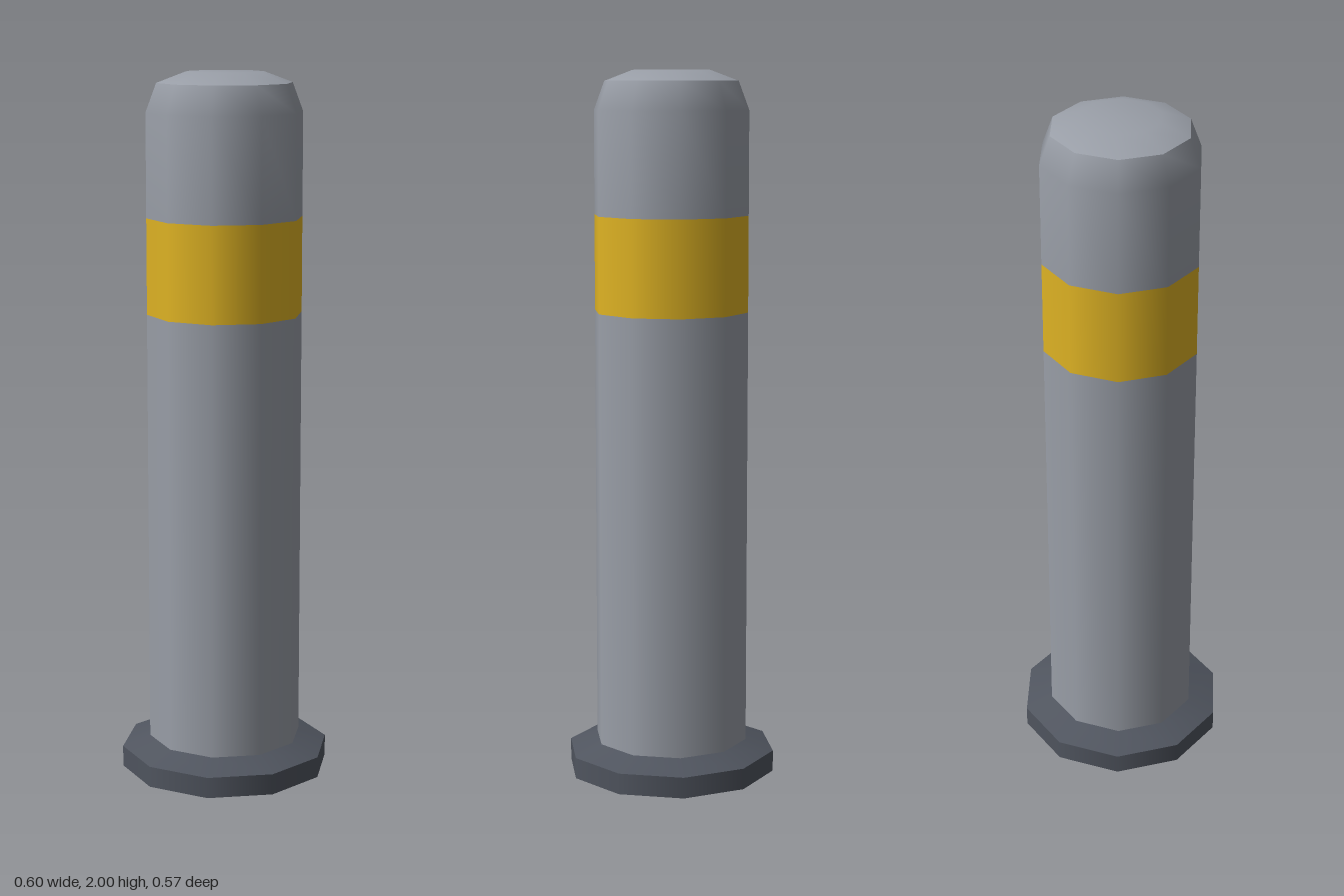
import * as THREE from 'three';

const SIDES = 10;

export function createModel() {
  const mat = (name, color) => {
    const m = new THREE.MeshStandardMaterial({ color });
    m.name = name;
    return m;
  };
  const grey = mat('post grey', 0x9a9fa8);
  const yellow = mat('band yellow', 0xe0b424);
  const dark = mat('base dark grey', 0x50555f);

  const model = new THREE.Group();
  model.name = 'bollard';

  // Ten-sided turned section, smooth within itself, with a corner on +x;
  // separate sections meet at hard edges
  const turn = (name, material, profile) => {
    const points = profile.map(([r, y]) => new THREE.Vector2(r, y));
    const geometry = new THREE.LatheGeometry(points, SIDES, Math.PI / 2);
    const mesh = new THREE.Mesh(geometry, material);
    mesh.name = name;
    model.add(mesh);
  };

  // Base plate
  turn('baseUnderside', dark, [[0, 0], [0.3, 0]]);
  turn('baseRim', dark, [[0.3, 0], [0.3, 0.06]]);
  turn('baseSlope', dark, [[0.3, 0.06], [0.22, 0.09]]);

  // Post with its reflective band
  turn('shaft', grey, [[0.22, 0.09], [0.22, 1.33]]);
  turn('band', yellow, [[0.22, 1.33], [0.22, 1.6]]);

  // Rounded head
  turn('upperShaft', grey, [[0.22, 1.6], [0.22, 1.89], [0.19, 1.97]]);
  turn('cap', grey, [[0.19, 1.97], [0.11, 2], [0, 2]]);

  return model;
}
